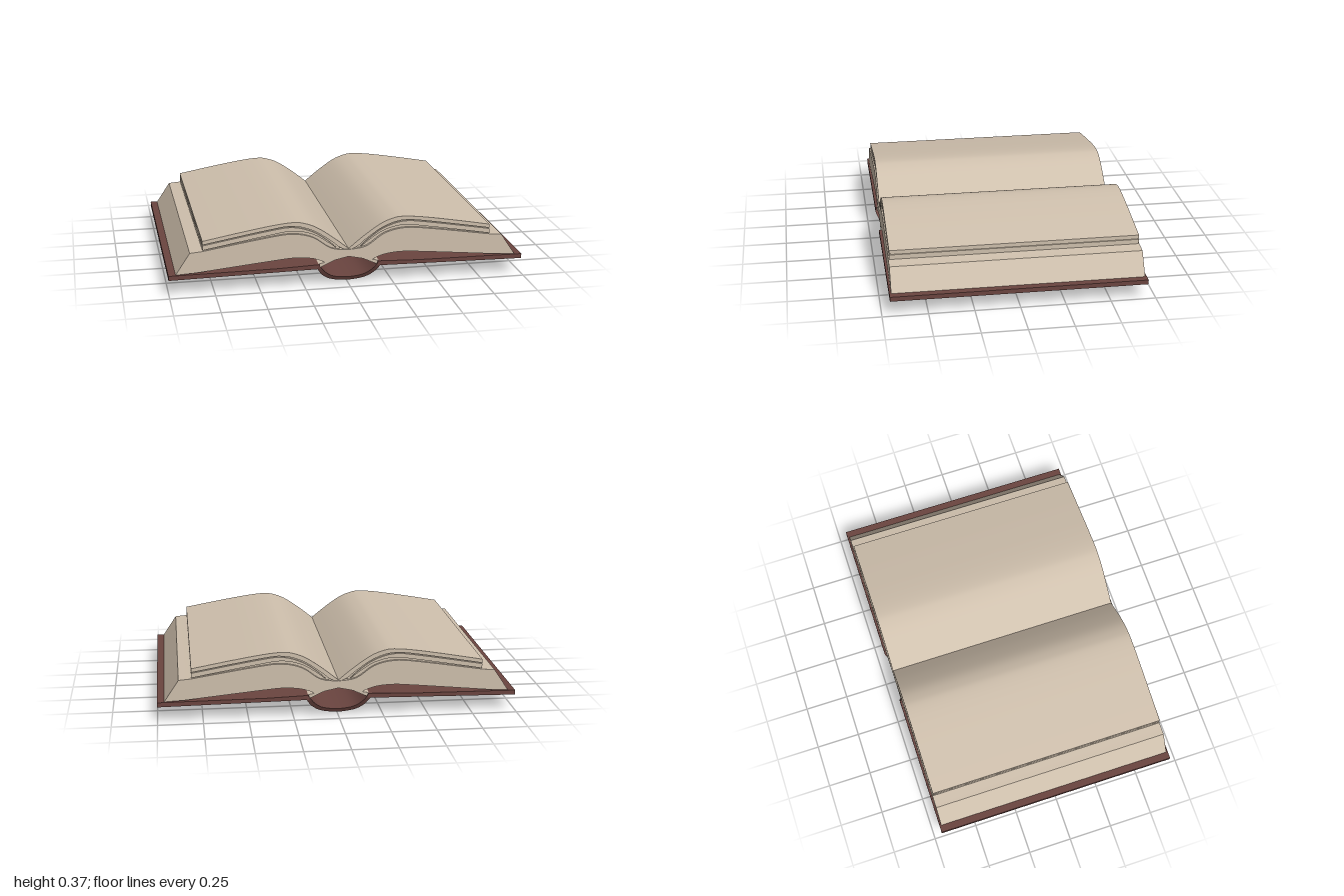
import * as THREE from 'three';
import { toCreasedNormals } from 'three/addons/utils/BufferGeometryUtils.js';

const paper = new THREE.MeshStandardMaterial({ color: 0xcfc0ad });
paper.name = 'paper';
const leather = new THREE.MeshStandardMaterial({ color: 0x6b4540 });
leather.name = 'leather';

// Smooth run of points through a few [x, y] pairs
function curve(points, count = 20) {
  return new THREE.SplineCurve(points.map(p => new THREE.Vector2(...p))).getPoints(count);
}
const corners = points => points.map(p => new THREE.Vector2(...p));

// Outline swept along z between z0 and z1; side -1 mirrors it in x
function sweep(name, outline, z0, z1, material, side = 1) {
  const shape = new THREE.Shape(outline.map(p => new THREE.Vector2(p.x * side, p.y)));
  const geometry = new THREE.ExtrudeGeometry(shape, { depth: z1 - z0, bevelEnabled: false });
  geometry.translate(0, 0, z0);
  const mesh = new THREE.Mesh(toCreasedNormals(geometry, 0.5), material);
  mesh.name = name;
  return mesh;
}

// Spine ends draw in towards the bottom
function taperSpine(mesh) {
  const position = mesh.geometry.attributes.position;
  for (let i = 0; i < position.count; i++) {
    const drop = THREE.MathUtils.clamp((0.1 - position.getY(i)) / 0.085, 0, 1);
    position.setZ(i, position.getZ(i) * (1 - 0.06 * drop));
  }
  mesh.geometry = toCreasedNormals(mesh.geometry, 0.5);
  return mesh;
}

export function createModel() {
  const book = new THREE.Group();
  book.name = 'openBook';

  for (const side of [1, -1]) {
    const half = new THREE.Group();
    half.name = side > 0 ? 'leftHalf' : 'rightHalf';
    book.add(half);

    // Cover board, a little higher at the hinge
    half.add(sweep('coverBoard', corners([
      [0.165, 0.1], [1, 0.088], [1, 0.114], [0.4, 0.118], [0.165, 0.126],
    ]), -0.705, 0.705, leather, side));

    // Lower page block: arched underside, sloping fore edge, curved top
    half.add(sweep('lowerPages', [
      ...corners([[0, 0.16], [0.08, 0.143], [0.16, 0.106], [0.17, 0.127], [0.135, 0.133]]),
      ...curve([[0.15, 0.143], [0.21, 0.162], [0.3, 0.17], [0.42, 0.162], [0.85, 0.12]]),
      ...corners([[0.96, 0.115], [0.88, 0.235]]),
      ...curve([[0.81, 0.241], [0.45, 0.297], [0.31, 0.308], [0.2, 0.282], [0.1, 0.215], [0, 0.2]]),
    ], -0.695, 0.695, paper, side));

    // Recessed core seen in the gaps between the layers
    half.add(sweep('pageCore', [
      ...curve([[0.05, 0.2], [0.1, 0.205], [0.2, 0.27], [0.31, 0.3], [0.45, 0.29], [0.805, 0.235]]),
      ...curve([[0.805, 0.28], [0.42, 0.345], [0.31, 0.355], [0.2, 0.325], [0.1, 0.255], [0.05, 0.225]]),
    ], -0.68, 0.68, paper, side));

    // Middle layer of loose pages
    half.add(sweep('middlePages', [
      ...curve([[0.07, 0.212], [0.12, 0.25], [0.2, 0.299], [0.31, 0.324], [0.45, 0.307], [0.81, 0.245]]),
      ...curve([[0.81, 0.271], [0.45, 0.332], [0.31, 0.345], [0.2, 0.313], [0.12, 0.26], [0.07, 0.216]]),
    ], -0.69, 0.69, paper, side));

    // Top open page
    half.add(sweep('topPages', [
      ...curve([[0, 0.195], [0.05, 0.215], [0.1, 0.256], [0.2, 0.321], [0.31, 0.352], [0.45, 0.338], [0.81, 0.276]]),
      ...curve([[0.81, 0.297], [0.6, 0.335], [0.42, 0.364], [0.31, 0.374], [0.25, 0.366],
        [0.18, 0.338], [0.09, 0.277], [0, 0.205]], 28),
    ], -0.69, 0.69, paper, side));
  }

  // Rounded spine, open as a hollow behind the pages
  const outer = [[-0.178, 0.1], [-0.145, 0.055], [-0.09, 0.023], [0, 0.011], [0.09, 0.023], [0.145, 0.055], [0.178, 0.1]];
  const inner = [[0.17, 0.125], [0.13, 0.074], [0.08, 0.043], [0, 0.032], [-0.08, 0.043], [-0.13, 0.074], [-0.17, 0.125]];
  book.add(taperSpine(sweep('spine', [...curve(outer, 24), ...curve(inner, 24)], -0.705, 0.705, leather)));

  // Raised ribs along the back part of the spine
  const arc = new THREE.SplineCurve(corners(outer));
  for (const t of [0.24, 0.37, 0.5, 0.63, 0.76]) {
    const rib = new THREE.Mesh(new THREE.BoxGeometry(0.034, 0.022, 0.36), leather);
    const p = arc.getPoint(t), d = arc.getTangent(t);
    rib.position.set(p.x, p.y, -0.36);
    rib.rotation.z = Math.atan2(d.y, d.x);
    rib.name = 'spineRib';
    book.add(rib);
  }
  return book;
}
